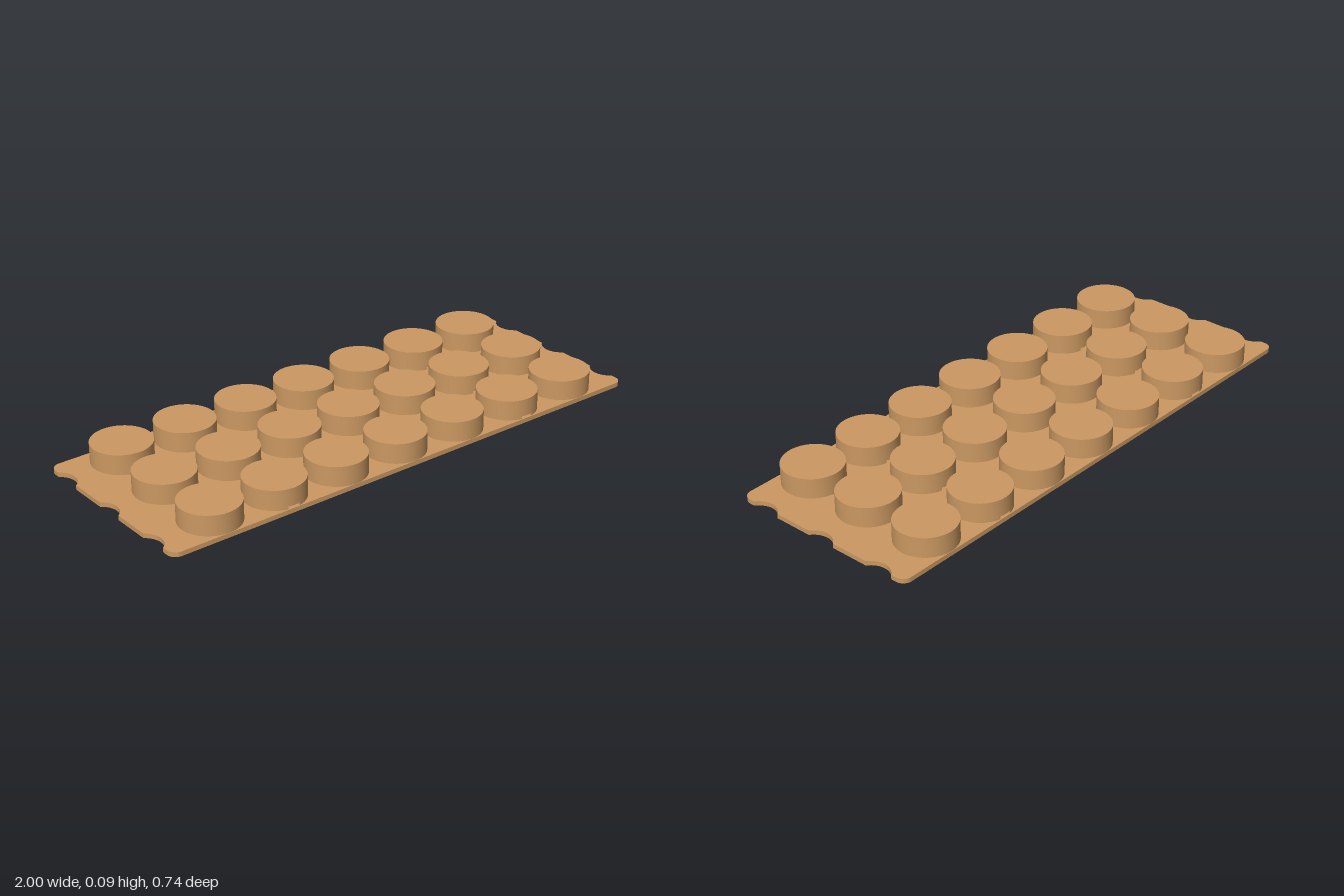
import * as THREE from 'three';
import { toCreasedNormals } from 'three/addons/utils/BufferGeometryUtils.js';

const PITCH = 0.26, STUD_R = 0.111, HOLE_R = 0.069;
const W = 1, D = 0.372, CORNER = 0.035;
const PLATE_TOP = 0.017, SLOT_TOP = 0.027, CEILING = 0.06, STUD_TOP = 0.092;
const SLOT_HALF = 0.023;
const ROWS = [-1, 0, 1], COLUMNS = [-3, -2, -1, 0, 1, 2, 3];

// Extrude a plan shape upwards from height y0 to y1
function slab(shape, y0, y1) {
  const geo = new THREE.ExtrudeGeometry(shape, { depth: y1 - y0, bevelEnabled: false, curveSegments: 32 });
  geo.rotateX(-Math.PI / 2).translate(0, y0, 0);
  return toCreasedNormals(geo, 0.6);
}

// Rounded plate with bitten ends and a hole under every stud
function plateGeometry() {
  const s = new THREE.Shape();
  const bite = Math.acos((4 * PITCH - W) / HOLE_R);
  const x = W - CORNER, y = D - CORNER, q = Math.PI / 2;
  s.moveTo(-x, -D);
  s.absarc(x, -y, CORNER, -q, 0, false);
  for (const r of ROWS) s.absarc(4 * PITCH, r * PITCH, HOLE_R, Math.PI + bite, Math.PI - bite, true);
  s.absarc(x, y, CORNER, 0, q, false);
  s.absarc(-x, y, CORNER, q, 2 * q, false);
  for (const r of ROWS) s.absarc(-4 * PITCH, -r * PITCH, HOLE_R, bite, -bite, true);
  s.absarc(-x, -y, CORNER, 2 * q, 3 * q, false);
  for (const c of COLUMNS) for (const r of ROWS) {
    const hole = new THREE.Path();
    hole.absarc(c * PITCH, r * PITCH, HOLE_R, 0, Math.PI * 2, true);
    s.holes.push(hole);
  }
  return slab(s, 0, PLATE_TOP);
}

// Hollow stud, closed on top and open below
function studGeometry(base) {
  const profile = [[0, CEILING], [HOLE_R, CEILING], [HOLE_R, base], [STUD_R, base], [STUD_R, STUD_TOP], [0, STUD_TOP]];
  const geo = new THREE.LatheGeometry(profile.map(p => new THREE.Vector2(...p)), 64);
  return toCreasedNormals(geo, 0.6);
}

// Half of a stud's foot, leaving a slot that runs front to back
function footGeometry() {
  const s = new THREE.Shape();
  const outer = Math.acos(SLOT_HALF / STUD_R), inner = Math.acos(SLOT_HALF / HOLE_R);
  s.absarc(0, 0, STUD_R, -outer, outer, false);
  s.absarc(0, 0, HOLE_R, inner, -inner, true);
  return slab(s, PLATE_TOP, SLOT_TOP);
}

export function createModel() {
  const model = new THREE.Group();
  model.name = 'studdedPlate';
  const tan = new THREE.MeshStandardMaterial({ color: 0xcb9962 });
  tan.name = 'tan';

  const add = (name, geo, parent) => {
    const mesh = new THREE.Mesh(geo, tan);
    mesh.name = name;
    parent.add(mesh);
    return mesh;
  };

  add('plate', plateGeometry(), model);

  const plain = studGeometry(PLATE_TOP), raised = studGeometry(SLOT_TOP), foot = footGeometry();
  for (const c of COLUMNS) for (const r of ROWS) {
    const slotted = Math.abs(c) === 2;
    const stud = new THREE.Group();
    stud.name = slotted ? 'slottedStud' : 'stud';
    stud.position.set(c * PITCH, 0, r * PITCH);
    add('studBody', slotted ? raised : plain, stud);
    if (slotted) {
      add('leftFoot', foot, stud);
      add('rightFoot', foot, stud).rotation.y = Math.PI;
    }
    model.add(stud);
  }
  return model;
}
